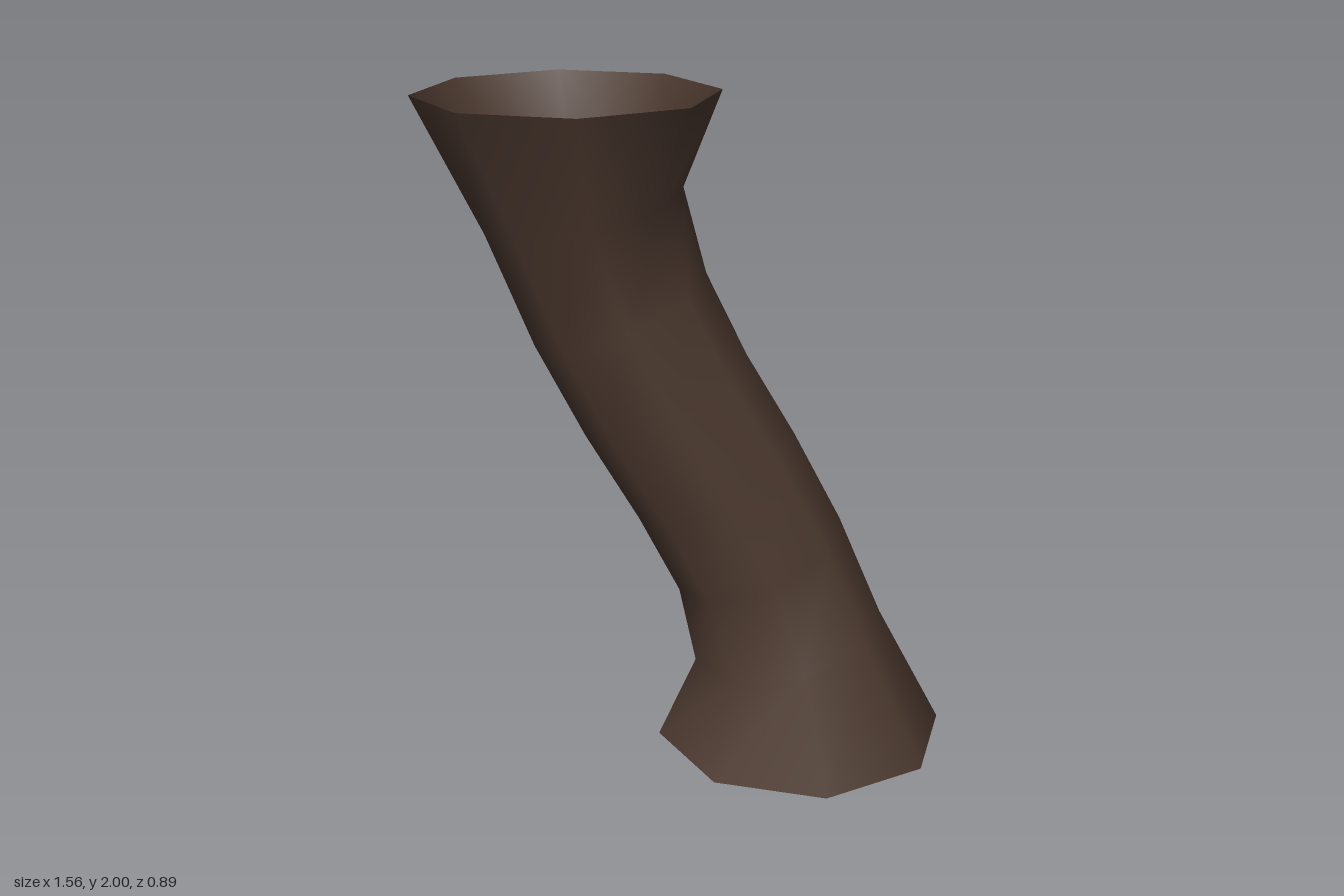
import * as THREE from 'three';

export function createModel() {
  const bark = new THREE.MeshStandardMaterial({ color: 0x4d3a30, side: THREE.DoubleSide });
  bark.name = 'dark brown bark';

  // Tilted rings from foot to top: left x, left y, right x, right y, half depth
  const rings = [
    [-0.11, 0, 0.78, 0, 0.445],
    [0.005, 0.25, 0.58, 0.38, 0.295],
    [-0.045, 0.49, 0.445, 0.7, 0.27],
    [-0.165, 0.73, 0.3, 0.98, 0.27],
    [-0.32, 1.0, 0.155, 1.23, 0.27],
    [-0.46, 1.28, 0.035, 1.48, 0.27],
    [-0.59, 1.61, -0.03, 1.73, 0.29],
    [-0.78, 2, 0.08, 2, 0.43],
  ];
  const sides = 8;
  const positions = [];
  const indices = [];

  rings.forEach(([lx, ly, rx, ry, depth], i) => {
    for (let j = 0; j < sides; j++) {
      const angle = (j / sides) * Math.PI * 2;
      const t = (1 + Math.cos(angle)) / 2;
      positions.push(lx + (rx - lx) * t, ly + (ry - ly) * t, Math.sin(angle) * depth);
      if (i === rings.length - 1) continue;
      const a = i * sides + j;
      const b = i * sides + ((j + 1) % sides);
      indices.push(a, a + sides, b, b, a + sides, b + sides);
    }
  });

  // Hollow leaning trunk, open at both flared ends
  const geometry = new THREE.BufferGeometry();
  geometry.setAttribute('position', new THREE.Float32BufferAttribute(positions, 3));
  geometry.setIndex(indices);
  geometry.computeVertexNormals();

  const trunk = new THREE.Mesh(geometry, bark);
  trunk.name = 'hollowTrunk';
  const group = new THREE.Group();
  group.name = 'leaningHollowTrunk';
  group.add(trunk);
  return group;
}
